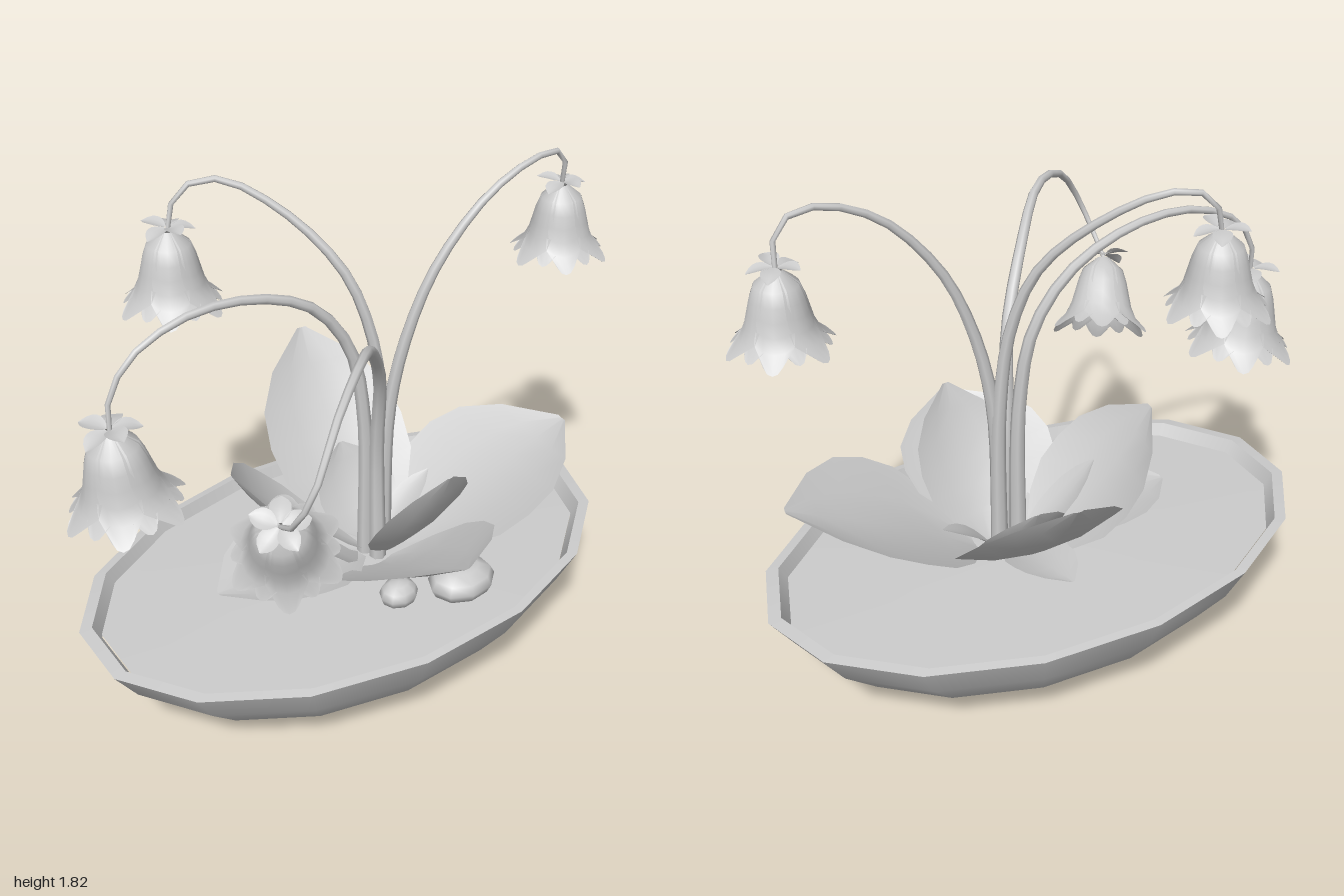
import * as THREE from 'three';

const V = (a) => new THREE.Vector3(...a);
const solid = new THREE.MeshStandardMaterial({ color: 0xcccccc });
const thin = new THREE.MeshStandardMaterial({ color: 0xcccccc, side: THREE.DoubleSide });

function add(parent, geometry, name, material = solid) {
  const mesh = new THREE.Mesh(geometry, material);
  mesh.name = name;
  parent.add(mesh);
  return mesh;
}

// Open surface from fn(u, v) -> Vector3, u and v in 0..1
function sheet(nu, nv, fn) {
  const pos = [], index = [];
  for (let j = 0; j <= nv; j++) for (let i = 0; i <= nu; i++) {
    pos.push(...fn(i / nu, j / nv).toArray());
    if (i < nu && j < nv) {
      const a = j * (nu + 1) + i, b = a + nu + 1;
      index.push(a, a + 1, b, a + 1, b + 1, b);
    }
  }
  const g = new THREE.BufferGeometry();
  g.setAttribute('position', new THREE.Float32BufferAttribute(pos, 3));
  g.setIndex(index);
  g.computeVertexNormals();
  return g;
}

// Value of a short list sampled evenly over 0..1
function sample(list, t) {
  const f = t * (list.length - 1), i = Math.min(Math.floor(f), list.length - 2);
  return THREE.MathUtils.lerp(list[i], list[i + 1], f - i);
}

// Pointed blade from base to tip, arched along its length and cupped across
const BLADE = [0.2, 0.68, 0.95, 1, 0.92, 0.62, 0.06];
function leafGeometry(base, tip, width, arch = 0.03, cup = 0.05) {
  const a = V(base), b = V(tip), dir = b.clone().sub(a).normalize();
  const side = new THREE.Vector3(0, 1, 0).cross(dir).normalize();
  const up = dir.clone().cross(side);
  return sheet(4, 6, (u, t) => {
    const s = u * 2 - 1, w = sample(BLADE, t);
    return a.clone().lerp(b, t)
      .addScaledVector(side, s * w * width / 2)
      .addScaledVector(up, arch * Math.sin(Math.PI * t) + cup * w * (s * s - 0.4));
  });
}

// Tapered tube along a path
function stemGeometry(points) {
  const curve = new THREE.CatmullRomCurve3(points.map(V));
  const seg = 22, sides = 7;
  const g = new THREE.TubeGeometry(curve, seg, 0.031, sides);
  const pos = g.attributes.position, p = new THREE.Vector3();
  for (let i = 0; i < pos.count; i++) {
    const t = Math.floor(i / (sides + 1)) / seg, c = curve.getPointAt(t);
    p.fromBufferAttribute(pos, i).sub(c).multiplyScalar(1 - 0.75 * t).add(c);
    pos.setXYZ(i, p.x, p.y, p.z);
  }
  return g;
}

// Hanging bell: two rings of grooved petals under a crown of sepals
const BELL = [0.02, 0.068, 0.083, 0.093, 0.103, 0.122, 0.165];
const PETAL = [1, 1, 1, 1, 1, 0.85, 0.3];
function makeFlower(at, dir, size) {
  const flower = new THREE.Group();
  flower.name = 'flower';
  const petal = (angle, scale, length) => sheet(4, 6, (u, t) => {
    const s = u * 2 - 1;
    const a = angle + s * 0.62 * sample(PETAL, t);
    const r = sample(BELL, t) * scale * (1 + 0.1 * t * (0.5 - s * s));
    return new THREE.Vector3(Math.cos(a) * r, -length * t + 0.02 * t * s * s, Math.sin(a) * r);
  });
  for (let i = 0; i < 12; i++) {
    const outer = i % 2 === 0;
    add(flower, petal(i * Math.PI / 6, outer ? 1.04 : 0.92, outer ? 0.265 : 0.25),
      outer ? 'outerPetal' : 'innerPetal', thin);
  }
  for (let i = 0; i < 5; i++) {
    const a = i * Math.PI * 0.4 + 0.3, x = Math.cos(a), z = Math.sin(a);
    add(flower, leafGeometry([x * 0.008, 0.012, z * 0.008], [x * 0.09, i % 2 ? 0.02 : -0.005, z * 0.09],
      0.062, 0.008, 0.008), 'sepal', thin);
  }
  flower.position.copy(V(at));
  flower.quaternion.setFromUnitVectors(new THREE.Vector3(0, -1, 0), V(dir).normalize());
  flower.scale.setScalar(size);
  return flower;
}

export function createModel() {
  const model = new THREE.Group();
  model.name = 'pottedFlowers';

  // Oval bowl and soil, each profile turned and then squashed front to back
  const bowl = new THREE.Group();
  bowl.name = 'bowl';
  const turned = {
    bowlBase: [[0, 0], [0.43, 0]],
    bowlWall: [[0.43, 0], [0.61, 0.1], [0.79, 0.2], [0.92, 0.32], [1, 0.44]],
    bowlRim: [[1, 0.44], [0.955, 0.445]],
    bowlInside: [[0.955, 0.445], [0.925, 0.39]],
    soil: [[0.925, 0.4], [0.5, 0.41], [0, 0.42]],
  };
  for (const [name, profile] of Object.entries(turned)) {
    const pts = profile.map(([r, y]) => new THREE.Vector2(r, y));
    add(bowl, new THREE.LatheGeometry(pts, 15, Math.PI / 2), name);
  }
  bowl.scale.set(1.004, 1, 0.635);
  bowl.position.set(-0.015, 0, -0.025);
  model.add(bowl);

  // Leaves: base, tip, width, arch
  const leaves = [
    [[0.13, 0.43, -0.05], [0.19, 1.0, -0.64], 0.54, -0.04],
    [[0.02, 0.43, -0.06], [-0.42, 0.88, -0.1], 0.54, -0.03],
    [[0.05, 0.43, 0.08], [0.05, 0.73, 0.57], 0.58, 0.02],
    [[0.13, 0.43, 0.04], [0.15, 0.91, 0.34], 0.38, -0.02],
    [[0.2, 0.43, 0.04], [0.85, 0.76, 0.1], 0.66, 0.04],
    [[0.02, 0.44, 0], [-0.54, 0.49, -0.02], 0.46, 0.04],
    [[0.1, 0.43, -0.05], [0.06, 0.51, -0.4], 0.22, 0.02],
    [[0.12, 0.43, -0.04], [0.12, 0.72, -0.27], 0.32, -0.02],
    [[0.05, 0.43, -0.03], [-0.22, 0.7, -0.06], 0.15, -0.01],
    [[0.15, 0.43, -0.03], [0.37, 0.62, -0.07], 0.11, 0.02],
  ];
  for (const [base, tip, width, arch] of leaves) {
    add(model, leafGeometry(base, tip, width, arch, width * 0.1), 'leaf', thin);
  }

  // Arching stems, each with a bell hanging from its end
  const plants = [
    { path: [[0.13, 0.41, -0.01], [0.125, 1.0, -0.02], [0.09, 1.3, -0.04], [0.02, 1.52, -0.1],
      [-0.12, 1.71, -0.24], [-0.28, 1.81, -0.36], [-0.4, 1.78, -0.4], [-0.44, 1.66, -0.4]],
    dir: [0, -1, 0], size: 1 },
    { path: [[0.12, 0.41, 0], [0.14, 1.0, 0], [0.2, 1.3, 0.02], [0.3, 1.53, 0.04],
      [0.48, 1.73, 0.06], [0.68, 1.81, 0.06], [0.8, 1.78, 0.04], [0.82, 1.66, 0.02]],
    dir: [0.02, -1, 0], size: 0.95 },
    { path: [[0.06, 0.41, -0.02], [0.05, 1.0, -0.02], [0, 1.27, -0.03], [-0.13, 1.45, -0.04], [-0.35, 1.55, -0.04],
      [-0.58, 1.56, -0.04], [-0.77, 1.48, -0.04], [-0.85, 1.36, -0.04], [-0.86, 1.26, -0.03]],
    dir: [0.1, -1, 0], size: 1.13 },
    { path: [[0.08, 0.41, 0.03], [0.07, 0.9, 0.03], [0.03, 1.2, 0.1], [-0.1, 1.42, 0.24], [-0.27, 1.53, 0.43],
      [-0.45, 1.48, 0.58], [-0.57, 1.33, 0.65], [-0.61, 1.2, 0.6], [-0.6, 1.14, 0.51]],
    dir: [0.1, -0.24, -0.14], size: 1.05 },
  ];
  for (const { path, dir, size } of plants) {
    add(model, stemGeometry(path), 'stem');
    model.add(makeFlower(path[path.length - 1], dir, size));
  }

  // Pebbles resting on the soil
  for (const [x, y, z, rx, ry, rz] of [[0.21, 0.465, 0.35, 0.125, 0.065, 0.1], [-0.02, 0.475, 0.3, 0.07, 0.05, 0.06]]) {
    const pebble = add(model, new THREE.SphereGeometry(1, 9, 6), 'pebble');
    pebble.scale.set(rx, ry, rz);
    pebble.position.set(x, y, z);
  }
  return model;
}
